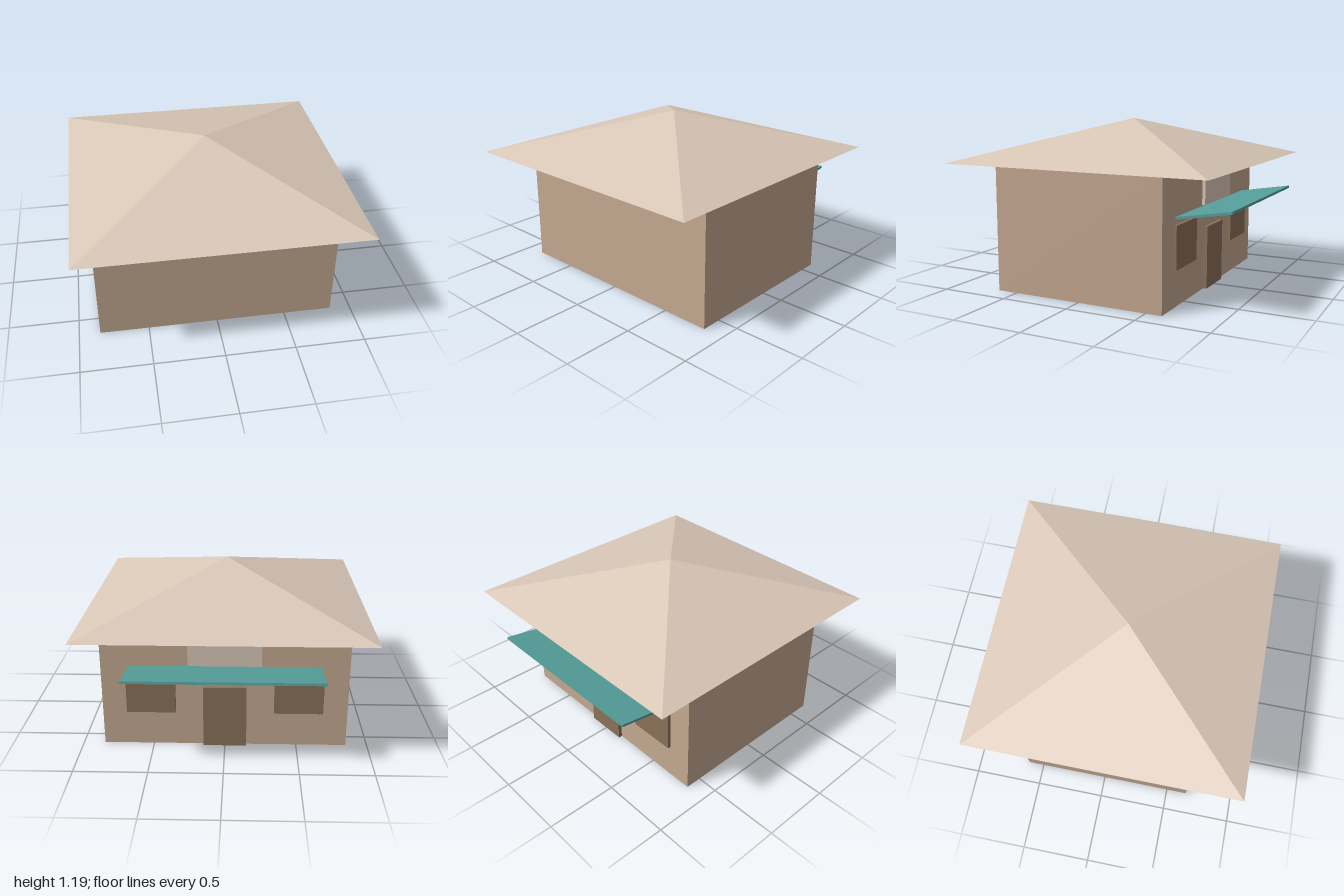
import * as THREE from 'three';

const mat = (name, color) => {
  const m = new THREE.MeshStandardMaterial({ color });
  m.name = name;
  return m;
};

export function createModel() {
  const house = new THREE.Group();
  house.name = 'house';
  const wallTan = mat('wall tan', 0xc4a890);
  const paleBeige = mat('pale beige', 0xdac8b8);
  const woodBrown = mat('wood brown', 0x8b7159);
  const awningTeal = mat('awning teal', 0x559f9a);

  // Box given by its min and max corners
  const box = (name, material, [x0, y0, z0], [x1, y1, z1]) => {
    const mesh = new THREE.Mesh(new THREE.BoxGeometry(x1 - x0, y1 - y0, z1 - z0), material);
    mesh.position.set((x0 + x1) / 2, (y0 + y1) / 2, (z0 + z1) / 2);
    mesh.name = name;
    house.add(mesh);
    return mesh;
  };

  const back = -0.615;
  box('walls', wallTan, [-0.85, 0, back], [0.85, 0.895, 0.65]);

  // Four-sided hip roof with overhanging eaves
  const roofGeo = new THREE.ConeGeometry(0.98 * Math.SQRT2, 0.297, 4, 1).rotateY(Math.PI / 4).toNonIndexed();
  roofGeo.computeVertexNormals();
  const roof = new THREE.Mesh(roofGeo, paleBeige);
  roof.position.set(0, 0.895 + 0.1485, 0.017);
  roof.name = 'roof';
  house.add(roof);

  // Door and two windows on the back wall
  box('door', woodBrown, [-0.15, 0, back - 0.026], [0.15, 0.45, back]);
  for (const side of [-1, 1]) {
    const x = side * 0.51;
    box(side > 0 ? 'leftWindow' : 'rightWindow', woodBrown,
      [x - 0.17, 0.255, back - 0.023], [x + 0.17, 0.55, back]);
  }

  // Sign board standing off the wall
  box('signBoard', paleBeige, [-0.25, 0.62, -0.66], [0.25, 0.79, -0.638]);

  // Awning rising outward from the wall
  const awning = new THREE.Mesh(new THREE.BoxGeometry(1.31, 0.017, 0.388), awningTeal);
  awning.position.set(0, 0.624, -0.807);
  awning.rotation.x = Math.atan2(0.063, 0.38);
  awning.name = 'awning';
  house.add(awning);

  return house;
}
